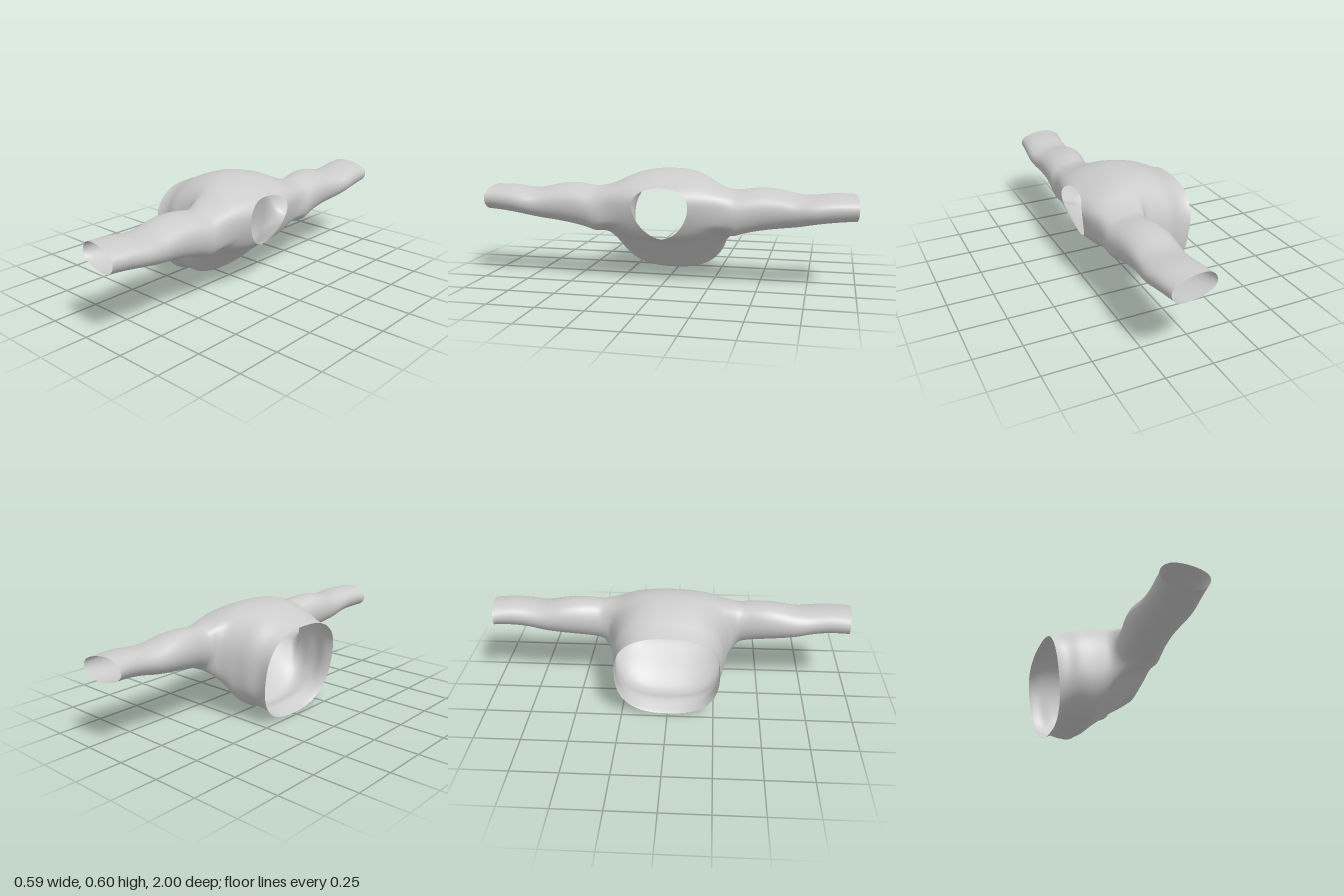
import * as THREE from 'three';

// Torso sections: top x, top y, bottom x, bottom y, half width, height of widest point, side bulge in x
const TORSO = [
  [-0.297, 0.51, -0.225, 0.0, 0.28, 0.28, -0.01],
  [-0.24, 0.532, -0.19, 0.018, 0.275, 0.28, 0],
  [-0.17, 0.566, -0.14, 0.04, 0.297, 0.28, 0],
  [-0.1, 0.59, -0.08, 0.029, 0.305, 0.28, 0],
  [-0.03, 0.6, -0.03, 0.045, 0.32, 0.3, 0],
  [0.04, 0.599, 0.04, 0.11, 0.335, 0.36, 0],
  [0.12, 0.584, 0.12, 0.174, 0.34, 0.38, 0],
  [0.19, 0.557, 0.18, 0.225, 0.335, 0.4, 0.01],
  [0.235, 0.534, 0.22, 0.243, 0.285, 0.41, 0.03],
  [0.262, 0.52, 0.24, 0.25, 0.148, 0.425, 0.037],
];
// Sleeve sections: z, x min, x max, y min, y max
const SLEEVE = [
  [0.37, 0.018, 0.263, 0.266, 0.508],
  [0.42, 0.015, 0.258, 0.284, 0.512],
  [0.5, 0.0, 0.25, 0.3, 0.522],
  [0.6, -0.008, 0.245, 0.315, 0.515],
  [0.7, -0.002, 0.249, 0.328, 0.491],
  [0.78, 0.006, 0.26, 0.345, 0.491],
  [0.88, 0.004, 0.25, 0.358, 0.502],
  [1.0, -0.01, 0.235, 0.367, 0.498],
];
const STEP = 6, ROWS = (TORSO.length - 1) * STEP, COLS = 96;

// Smooth interpolation between the rows of a section table
function sample(table, u) {
  const last = table.length - 1;
  const i = Math.min(Math.floor(u), last - 1), t = u - i;
  const at = (k) => table[Math.max(0, Math.min(last, k))];
  return table[i].map((b, k) => {
    const a = at(i - 1)[k], c = at(i + 1)[k], d = at(i + 2)[k];
    return b + 0.5 * t * (c - a + t * (2 * a - 5 * b + 4 * c - d + t * (3 * (b - c) + d - a)));
  });
}

const signedPow = (v, p) => Math.sign(v) * Math.abs(v) ** p;

function torsoPoint(u, angle) {
  const [xt, yt, xb, yb, w, ym, bulge] = sample(TORSO, u);
  const s = Math.sin(angle), c = Math.cos(angle);
  const neck = THREE.MathUtils.smoothstep(u, 7, 9);
  const power = 2 / (c > 0 ? 2.5 - 0.2 * neck : 2.5 - 0.75 * neck);
  const k = signedPow(c, power);
  return new THREE.Vector3(
    (xt + xb) / 2 + ((xt - xb) / 2) * k + bulge * s * s,
    ym + k * (c > 0 ? yt - ym : ym - yb),
    w * signedPow(s, power));
}

function sleevePoint(u, angle, side) {
  const [z, x0, x1, y0, y1] = sample(SLEEVE, u);
  const c = Math.cos(angle), s = Math.sin(angle);
  const end = THREE.MathUtils.smoothstep(z, 0.8, 1);
  return new THREE.Vector3(
    (x0 + x1) / 2 + ((x1 - x0) / 2) * c - 0.025 * s * (1 - c * c),
    (y0 + y1) / 2 + ((y1 - y0) / 2) * signedPow(s, 0.95),
    side * (z - 0.0125 * end * (1 - c)));
}

// Even out the joins while the open hems stay in place
function relax(points, faces, pinned, passes) {
  const near = points.map(() => new Set());
  for (let f = 0; f < faces.length; f += 3) {
    for (let k = 0; k < 3; k++) {
      const a = faces[f + k], b = faces[f + (k + 1) % 3];
      near[a].add(b);
      near[b].add(a);
    }
  }
  for (let n = 0; n < passes; n++) {
    const means = points.map((p, i) => {
      const m = new THREE.Vector3();
      near[i].forEach((k) => m.add(points[k]));
      return near[i].size ? m.divideScalar(near[i].size) : m.copy(p);
    });
    points.forEach((p, i) => { if (!pinned.has(i)) p.lerp(means[i], 0.5); });
  }
}

function garmentGeometry() {
  const points = [], faces = [], pinned = new Set();
  const id = (i, j) => i * COLS + (j % COLS);
  const quad = (a, b, c, d) => faces.push(a, b, c, b, d, c);

  // Torso from waist hem to neckline, with an armhole on each side
  const i0 = 28, i1 = 48;
  const armholes = [{ side: 1, j0: 13, j1: 32 }, { side: -1, j0: COLS - 32, j1: COLS - 13 }];
  for (let i = 0; i <= ROWS; i++) {
    for (let j = 0; j < COLS; j++) {
      if (i === 0 || i === ROWS) pinned.add(points.length);
      points.push(torsoPoint(i / STEP, (j / COLS) * Math.PI * 2));
    }
  }
  for (let i = 0; i < ROWS; i++) {
    for (let j = 0; j < COLS; j++) {
      const open = armholes.some((h) => i >= i0 && i < i1 && j >= h.j0 && j < h.j1);
      if (!open) quad(id(i, j), id(i, j + 1), id(i + 1, j), id(i + 1, j + 1));
    }
  }

  // Sleeves grow from the armhole edges out to the cuffs
  for (const { side, j0, j1 } of armholes) {
    const loop = [];
    for (let j = j0; j < j1; j++) loop.push(id(i0, j));
    for (let i = i0; i < i1; i++) loop.push(id(i, j1));
    for (let j = j1; j > j0; j--) loop.push(id(i1, j));
    for (let i = i1; i > i0; i--) loop.push(id(i, j0));
    const root = loop.map((k) => points[k].clone());
    const angles = root.map((p) => Math.atan2(p.y - 0.39, p.x - 0.13));
    const BLEND = 4, RINGS = 42;
    let previous = loop;
    for (let r = 1; r <= BLEND + RINGS; r++) {
      const u = (Math.max(0, r - BLEND) / RINGS) * (SLEEVE.length - 1);
      const ring = root.map((p, k) => {
        const q = sleevePoint(u, angles[k], side);
        if (r < BLEND) q.lerpVectors(p, q.clone(), r / BLEND);
        if (r === BLEND + RINGS) pinned.add(points.length);
        return points.push(q) - 1;
      });
      ring.forEach((_, k) => {
        const n = (k + 1) % ring.length;
        quad(previous[k], previous[n], ring[k], ring[n]);
      });
      previous = ring;
    }
  }

  relax(points, faces, pinned, 8);
  const geometry = new THREE.BufferGeometry().setFromPoints(points);
  geometry.setIndex(faces);
  geometry.computeVertexNormals();
  return geometry;
}

export function createModel() {
  const group = new THREE.Group();
  group.name = 'croppedTop';
  const cloth = new THREE.MeshStandardMaterial({ color: 0xcccccc, side: THREE.DoubleSide });
  const garment = new THREE.Mesh(garmentGeometry(), cloth);
  garment.name = 'torsoWithSleeves';
  group.add(garment);
  return group;
}
